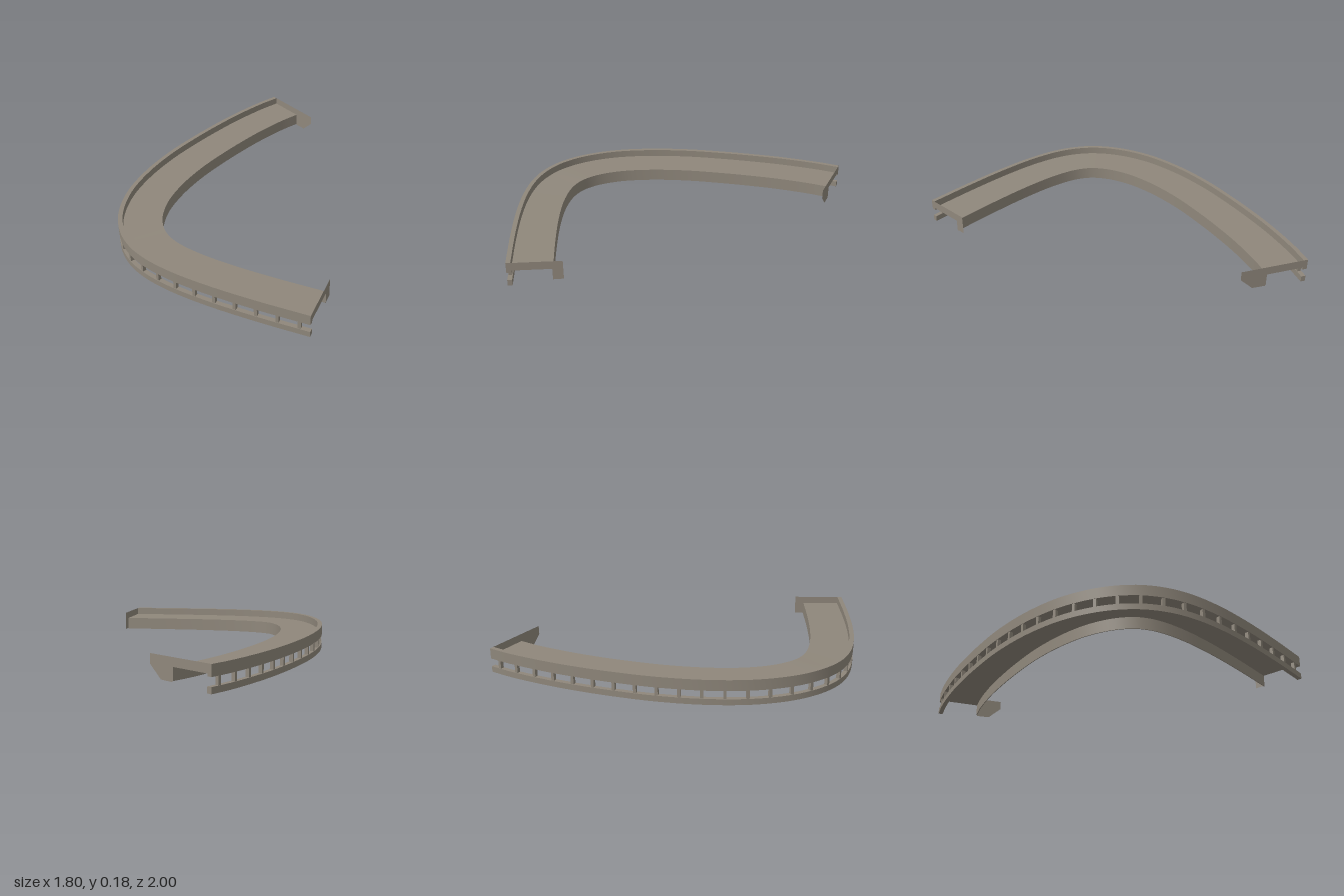
import * as THREE from 'three';

const WIDTH = 0.267; // walkway width measured inward from the outer edge
const UP = new THREE.Vector3(0, 1, 0);

// Outer edge of the walkway at ground level: x, height, z
const path = new THREE.CatmullRomCurve3([
  [-0.86, 0.028, -1], [-0.885, 0.027, -0.85], [-0.904, 0.026, -0.6], [-0.905, 0.025, -0.4],
  [-0.895, 0.025, -0.18], [-0.865, 0.026, 0.1], [-0.8, 0.027, 0.38], [-0.7, 0.028, 0.62],
  [-0.56, 0.028, 0.81], [-0.41, 0.027, 0.925], [-0.27, 0.024, 0.98], [-0.12, 0.021, 0.998],
  [0.08, 0.017, 0.98], [0.32, 0.012, 0.925], [0.6, 0.006, 0.838], [0.897, 0, 0.733],
].map((p) => new THREE.Vector3(...p)));
path.arcLengthDivisions = 600;

// Position and inward direction at a fraction u of the path
function frame(u) {
  const t = path.getTangentAt(u).setY(0).normalize();
  return { p: path.getPointAt(u), n: new THREE.Vector3(t.z, 0, -t.x), t };
}

// Sweep a rectangle (inward d0..d1, height y0..y1) along part of the path
function sweep(d0, d1, y0, y1, u0 = 0, u1 = 1, steps = 96) {
  const corners = [[d0, y0], [d1, y0], [d1, y1], [d0, y1]];
  const pos = [], index = [];
  const rings = [];
  for (let s = 0; s <= steps; s++) {
    const { p, n } = frame(u0 + (u1 - u0) * s / steps);
    rings.push(corners.map(([d, y]) => p.clone().addScaledVector(n, d).addScaledVector(UP, y)));
  }
  // each side has its own vertices: smooth lengthwise, sharp corners
  for (let k = 0; k < 4; k++) {
    const base = pos.length / 3;
    for (const r of rings) pos.push(...r[k].toArray(), ...r[(k + 1) % 4].toArray());
    for (let s = 0; s < steps; s++) {
      const a = base + s * 2;
      index.push(a, a + 1, a + 3, a, a + 3, a + 2);
    }
  }
  // end caps
  for (const [ring, flip] of [[rings[0], true], [rings[steps], false]]) {
    const b = pos.length / 3;
    for (const v of ring) pos.push(...v.toArray());
    if (flip) index.push(b, b + 2, b + 1, b, b + 3, b + 2);
    else index.push(b, b + 1, b + 2, b, b + 2, b + 3);
  }
  const g = new THREE.BufferGeometry();
  g.setAttribute('position', new THREE.Float32BufferAttribute(pos, 3));
  g.setIndex(index);
  g.computeVertexNormals();
  return g;
}

// Flat plate standing across one end of the walkway
function endPlate(u, outline) {
  const shape = new THREE.Shape(outline.map(([d, y]) => new THREE.Vector2(d, y)));
  const { p, n, t } = frame(u);
  const m = new THREE.Matrix4().makeBasis(n, UP, t).setPosition(p);
  return new THREE.ShapeGeometry(shape).applyMatrix4(m);
}

export function createModel() {
  const group = new THREE.Group();
  const stone = new THREE.MeshStandardMaterial({ color: 0x8f877b, side: THREE.DoubleSide });
  stone.name = 'warm grey stone';
  const add = (name, geometry, parent = group) => {
    const mesh = new THREE.Mesh(geometry, stone);
    mesh.name = name;
    parent.add(mesh);
  };

  // Walking surface and the skirt hanging from its inner edge
  add('deck', sweep(0.02, WIDTH, 0.1, 0.105));
  add('innerSkirt', sweep(WIDTH - 0.005, WIDTH, 0.026, 0.105));

  // Outer wall: parapet band above, rail below
  add('parapet', sweep(0, 0.028, 0.086, 0.151));
  add('lowerRail', sweep(0, 0.028, 0, 0.036));

  // Posts between rail and parapet, half a bay in from each end
  const posts = new THREE.Group();
  posts.name = 'posts';
  group.add(posts);
  const length = path.getLength();
  const count = Math.round(length / 0.127);
  const half = 0.009 / length;
  for (let i = 0; i < count; i++) {
    const u = (i + 0.5) / count;
    add('post', sweep(0.003, 0.025, 0.034, 0.088, u - half, u + half, 1), posts);
  }

  // End plates above the deck, reaching past the inner edge
  add('backEndPlate', endPlate(0, [[0, 0.105], [WIDTH, 0.105], [WIDTH, 0.02], [0.35, 0.022],
    [0.43, 0.095], [0.43, 0.151], [0, 0.151]]));
  add('sideEndPlate', endPlate(1, [[0, 0.105], [WIDTH, 0.105], [WIDTH, 0.03], [0.325, 0.03],
    [0.325, 0.151], [0, 0.151]]));

  return group;
}
